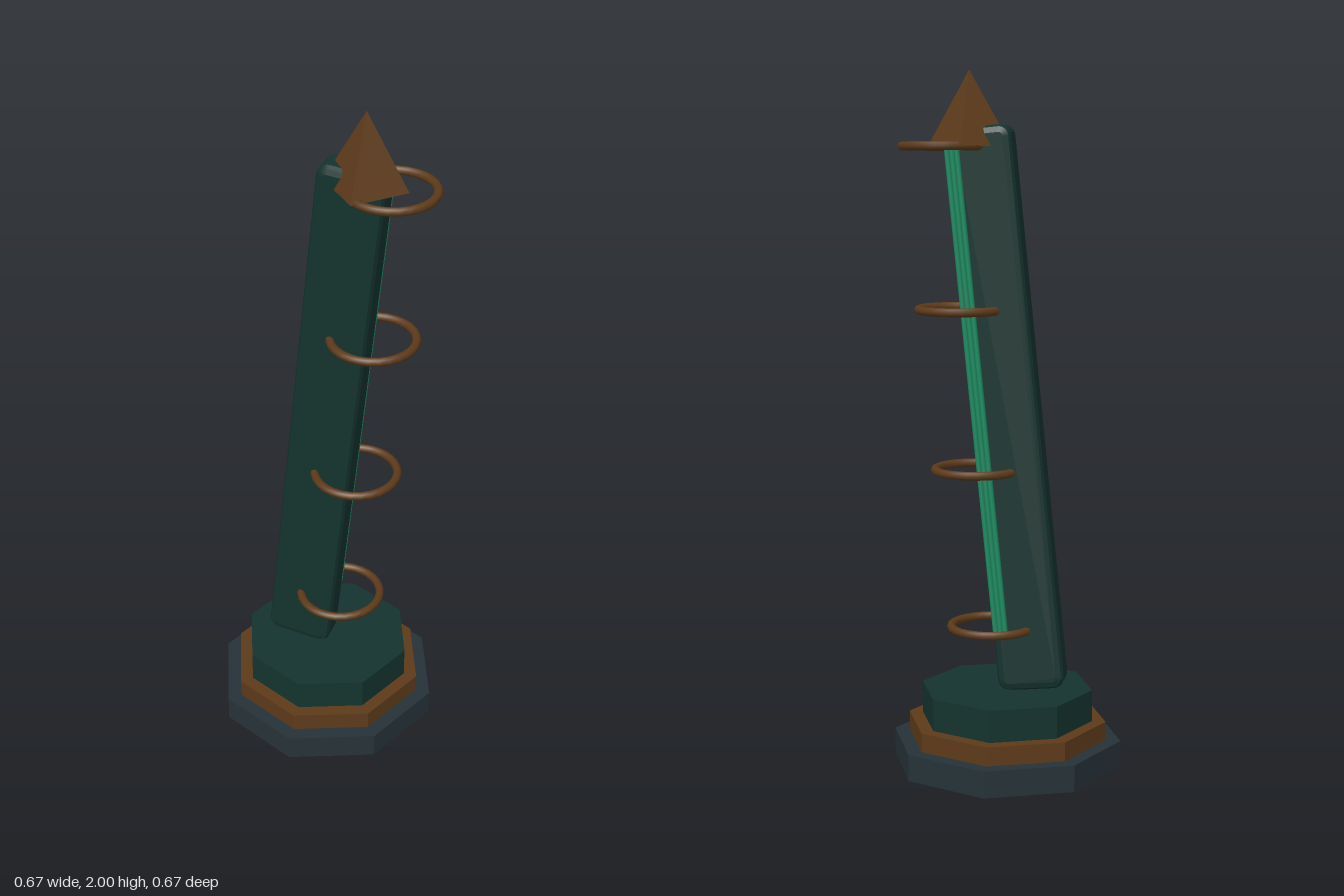
import * as THREE from 'three';

const mat = (color, flatShading = false) => new THREE.MeshStandardMaterial({ color, flatShading });
const slate = mat(0x263238, true);
const bronze = mat(0x5d3a1a, true);
const ringBronze = mat(0x5d3a1a);
const darkGreen = mat(0x14332e, true);
const brightGreen = mat(0x1a8a60);

const LEAN = 0.1; // shaft tilts towards +x
const SHAFT_Y = 1.035;

function add(parent, name, geometry, material, x = 0, y = 0, z = 0) {
  const mesh = new THREE.Mesh(geometry, material);
  mesh.name = name;
  mesh.position.set(x, y, z);
  parent.add(mesh);
  return mesh;
}

function roundedRect(w, h, r) {
  const s = new THREE.Shape();
  s.absarc(w / 2 - r, h / 2 - r, r, 0, Math.PI / 2);
  s.absarc(-w / 2 + r, h / 2 - r, r, Math.PI / 2, Math.PI);
  s.absarc(-w / 2 + r, -h / 2 + r, r, Math.PI, Math.PI * 1.5);
  s.absarc(w / 2 - r, -h / 2 + r, r, Math.PI * 1.5, Math.PI * 2);
  return s;
}

export function createModel() {
  const model = new THREE.Group();
  model.name = 'leaningObelisk';

  // Stepped octagonal base
  const steps = [
    ['baseBottom', 0.337, 0, 0.077, slate],
    ['baseMiddle', 0.293, 0.077, 0.132, bronze],
    ['baseTop', 0.253, 0.132, 0.225, darkGreen],
  ];
  for (const [name, r, y0, y1, material] of steps) {
    add(model, name, new THREE.CylinderGeometry(r, r, y1 - y0, 8), material, 0, (y0 + y1) / 2);
  }

  // Leaning shaft with bevelled edges
  const shaftGroup = new THREE.Group();
  shaftGroup.name = 'shaftGroup';
  shaftGroup.position.y = SHAFT_Y;
  shaftGroup.rotation.z = -LEAN;
  model.add(shaftGroup);
  const bevel = 0.022;
  const shaft = new THREE.ExtrudeGeometry(roundedRect(0.194 - 2 * bevel, 1.622 - 2 * bevel, 0.012), {
    depth: 0.064, bevelThickness: 0.016, bevelSize: bevel, bevelSegments: 2, curveSegments: 3,
  });
  shaft.translate(0, 0, -0.032);
  add(shaftGroup, 'shaft', shaft, darkGreen);

  // Thin rods along the back of the shaft
  for (const x of [0.056, 0.07, 0.084]) {
    add(shaftGroup, 'backRod', new THREE.CylinderGeometry(0.008, 0.008, 1.39, 8), brightGreen, x, 0.06, -0.061);
  }

  // Level rings that follow the lean
  for (let i = 0; i < 4; i++) {
    const ring = new THREE.TorusGeometry(0.12, 0.0125, 8, 28).rotateX(Math.PI / 2);
    add(model, 'ring', ring, ringBronze, 0.043 + i * 0.0457, 0.403 + i * 0.4617);
  }

  // Four-sided tip
  add(model, 'tip', new THREE.ConeGeometry(0.12, 0.212, 4), bronze, 0.107, 1.894);

  return model;
}
